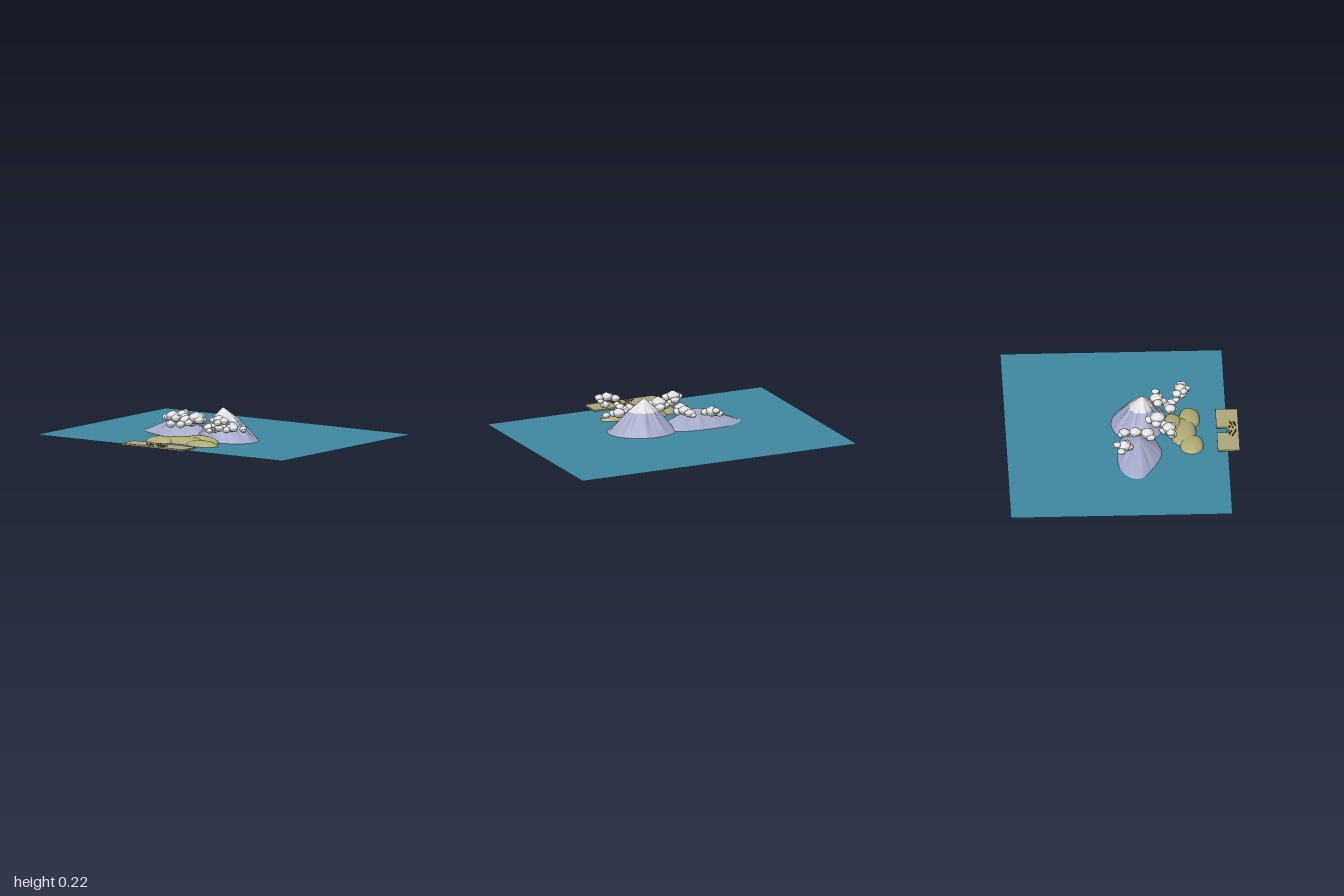
import * as THREE from 'three';

const mat = (name, color, side = THREE.FrontSide) => {
  const m = new THREE.MeshStandardMaterial({ color, side });
  m.name = name;
  return m;
};

// Mound: a closed outline on the ground drawn in to a peak; steps = [inset 0..1, height 0..1]
function moundGeometry(outline, peak, steps, ripple, snowFrom = Infinity) {
  const n = 72;
  const curve = new THREE.CatmullRomCurve3(
    outline.map(([x, z]) => new THREE.Vector3(x, 0, z)), true);
  const rim = curve.getSpacedPoints(n).slice(0, n);
  const pos = [], rock = [], snow = [];
  steps.forEach(([t, h], j) => {
    rim.forEach((p, i) => {
      const a = (i / n) * Math.PI * 2;
      const edge = Math.sin(t * Math.PI);
      const wave = (Math.sin(a * 9) + 0.6 * Math.sin(a * 17 + 1)) * ripple * edge;
      const k = (1 - t) * (1 + wave);
      pos.push(peak[0] + (p.x - peak[0]) * k, peak[1] * h, peak[2] + (p.z - peak[2]) * k);
      if (j === steps.length - 1) return;
      const b = j * n + i, c = j * n + (i + 1) % n;
      const list = j >= snowFrom ? snow : rock;
      list.push(b, c, b + n, c, c + n, b + n);
    });
  });
  const g = new THREE.BufferGeometry();
  g.setAttribute('position', new THREE.Float32BufferAttribute(pos, 3));
  g.setIndex([...rock, ...snow]);
  g.addGroup(0, rock.length, 0);
  g.addGroup(rock.length, snow.length, 1);
  g.computeVertexNormals();
  return g;
}

// Oval outline, listed so that the mound faces outwards
const oval = (cx, cz, rx, rz) => Array.from({ length: 10 }, (_, i) => {
  const a = (i / 10) * Math.PI * 2, k = 1 + 0.04 * Math.sin(i * 2.3);
  return [cx + Math.sin(a) * rx * k, cz + Math.cos(a) * rz * k];
});

// Lumpy ball used for every cloud puff
function puffGeometry() {
  const g = new THREE.SphereGeometry(1, 20, 14);
  const p = g.attributes.position, v = new THREE.Vector3();
  for (let i = 0; i < p.count; i++) {
    v.fromBufferAttribute(p, i);
    const s = 1 + 0.09 * Math.sin(v.x * 5 + 1) * Math.cos(v.z * 5) + 0.05 * Math.sin(v.y * 7);
    p.setXYZ(i, v.x * s, v.y * s, v.z * s);
  }
  g.computeVertexNormals();
  return g;
}

export function createModel() {
  const model = new THREE.Group();
  model.name = 'islandScene';
  const water = mat('water', 0x4089a3, THREE.DoubleSide);
  const rock = mat('rock', 0xa3a8c8, THREE.DoubleSide);
  const snow = mat('snow', 0xdcdcdc, THREE.DoubleSide);
  const grass = mat('grassHill', 0xb0aa74, THREE.DoubleSide);
  const sand = mat('sand', 0xb0a97c);
  const cloudWhite = mat('cloud', 0xdedede);
  const reed = mat('reed', 0x55562f);

  const add = (name, geometry, material, parent = model) => {
    const m = new THREE.Mesh(geometry, material);
    m.name = name;
    parent.add(m);
    return m;
  };

  // Sea
  const sea = add('sea', new THREE.PlaneGeometry(2, 1.46), water);
  sea.rotation.x = -Math.PI / 2;
  sea.position.z = -0.04;

  // Mountains
  const slope = [[0, 0], [0.15, 0.14], [0.3, 0.3], [0.45, 0.47], [0.58, 0.62],
    [0.7, 0.74], [0.82, 0.85], [0.92, 0.94], [1, 1]];
  add('snowyMountain', moundGeometry(
    [[0.12, 0.29], [0.28, 0.27], [0.36, 0.2], [0.37, 0.09], [0.28, -0.02],
      [0.13, -0.07], [0, -0.04], [-0.06, 0.03], [-0.08, 0.13], [-0.04, 0.23]],
    [0.12, 0.215, 0.135], slope, 0.06, 4), [rock, snow]);
  const ridge = [[0, 0], [0.15, 0.18], [0.3, 0.36], [0.45, 0.53], [0.6, 0.7], [0.75, 0.85], [0.9, 0.96], [1, 1]];
  add('lowMountain', moundGeometry(
    [[-0.25, 0.25], [-0.1, 0.22], [0.02, 0.17], [0.02, 0.05], [-0.06, -0.01],
      [-0.22, -0.04], [-0.42, -0.03], [-0.53, 0.03], [-0.55, 0.1], [-0.42, 0.19]],
    [-0.24, 0.11, 0.1], ridge, 0.05), [rock, rock]);

  // Rounded green hills
  const dome = [[0, 0], [0.04, 0.25], [0.12, 0.46], [0.25, 0.67], [0.45, 0.85], [0.7, 0.96], [1, 1]];
  [[-0.15, 0.45, 0.115, 0.078, 0.036], [0.17, 0.445, 0.12, 0.068, 0.034],
    [0.0, 0.4, 0.17, 0.085, 0.04], [0.08, 0.335, 0.14, 0.065, 0.047]]
    .forEach(([x, z, rx, rz, h], i) => add('hill' + (i + 1),
      moundGeometry(oval(x, z, rx, rz), [x, h, z], dome, 0.02), [grass, grass]));

  // Clouds: puffs as [x, y, z, radius]
  const puff = puffGeometry();
  const clouds = {
    leftCloud: [[-0.31, 0.105, 0.0, 0.042], [-0.32, 0.12, -0.045, 0.025], [-0.27, 0.1, 0.02, 0.028],
      [-0.355, 0.09, -0.02, 0.026], [-0.31, 0.095, 0.035, 0.025]],
    ridgeCloud: [[-0.16, 0.105, 0.16, 0.042], [-0.19, 0.09, 0.18, 0.03], [-0.13, 0.09, 0.14, 0.032],
      [-0.15, 0.11, 0.08, 0.038], [-0.155, 0.11, 0.01, 0.034], [-0.165, 0.1, -0.015, 0.022]],
    middleCloud: [[-0.03, 0.14, 0.23, 0.048], [-0.07, 0.12, 0.22, 0.032], [0.01, 0.13, 0.25, 0.032],
      [-0.02, 0.12, 0.18, 0.032], [-0.06, 0.11, 0.27, 0.028]],
    frontLeftCloud: [[-0.17, 0.15, 0.3, 0.042], [-0.21, 0.14, 0.31, 0.03], [-0.13, 0.14, 0.32, 0.03],
      [-0.1, 0.1, 0.31, 0.03], [-0.17, 0.1, 0.32, 0.032], [-0.17, 0.13, 0.27, 0.03]],
    frontRightCloud: [[0.27, 0.175, 0.39, 0.036], [0.22, 0.165, 0.365, 0.03], [0.32, 0.17, 0.4, 0.03],
      [0.325, 0.155, 0.37, 0.02], [0.29, 0.16, 0.43, 0.026], [0.24, 0.17, 0.41, 0.026],
      [0.28, 0.12, 0.4, 0.03], [0.21, 0.125, 0.36, 0.022]],
    lowRightCloud: [[0.14, 0.1, 0.32, 0.036], [0.18, 0.095, 0.31, 0.032], [0.2, 0.11, 0.33, 0.03],
      [0.16, 0.085, 0.345, 0.022]],
    sideCloud: [[0.26, 0.105, 0.23, 0.04], [0.21, 0.1, 0.24, 0.03], [0.29, 0.1, 0.25, 0.028],
      [0.25, 0.09, 0.275, 0.026], [0.35, 0.1, 0.23, 0.025], [0.365, 0.09, 0.245, 0.016]],
  };
  for (const [name, puffs] of Object.entries(clouds)) {
    const group = new THREE.Group();
    group.name = name;
    model.add(group);
    puffs.forEach(([x, y, z, r], i) => {
      const m = add('puff', puff, cloudWhite, group);
      m.position.set(x, y, z);
      m.scale.set(r, r * 0.78, r);
      m.rotation.y = i * 1.7;
    });
  }

  // Sandy shore with a notch cut from its seaward edge
  const s = new THREE.Shape([[-0.25, -0.765], [0.25, -0.765], [0.25, -0.62], [0.03, -0.62],
    [0.03, -0.69], [-0.035, -0.69], [-0.035, -0.62], [-0.25, -0.62]]
    .map(([x, y]) => new THREE.Vector2(x, y)));
  const shoreGeometry = new THREE.ExtrudeGeometry(s, { depth: 0.01, bevelEnabled: false });
  shoreGeometry.rotateX(-Math.PI / 2);
  add('shore', shoreGeometry, sand).position.y = 0.008;

  // Reed tufts on the shore
  const blade = new THREE.ConeGeometry(0.0035, 1, 4);
  for (let i = 0; i < 26; i++) {
    const h = 0.012 + 0.014 * ((i * 7) % 5) / 4;
    const side = i % 2 ? 1 : -1;
    const m = add('reed', blade, reed);
    m.position.set(side * (0.015 + ((i * 0.037) % 0.065)), 0.017 + h / 2, 0.7 + ((i * 0.023) % 0.05));
    m.scale.y = h;
    m.rotation.z = 0.12 * Math.sin(i * 2.1);
  }
  return model;
}
